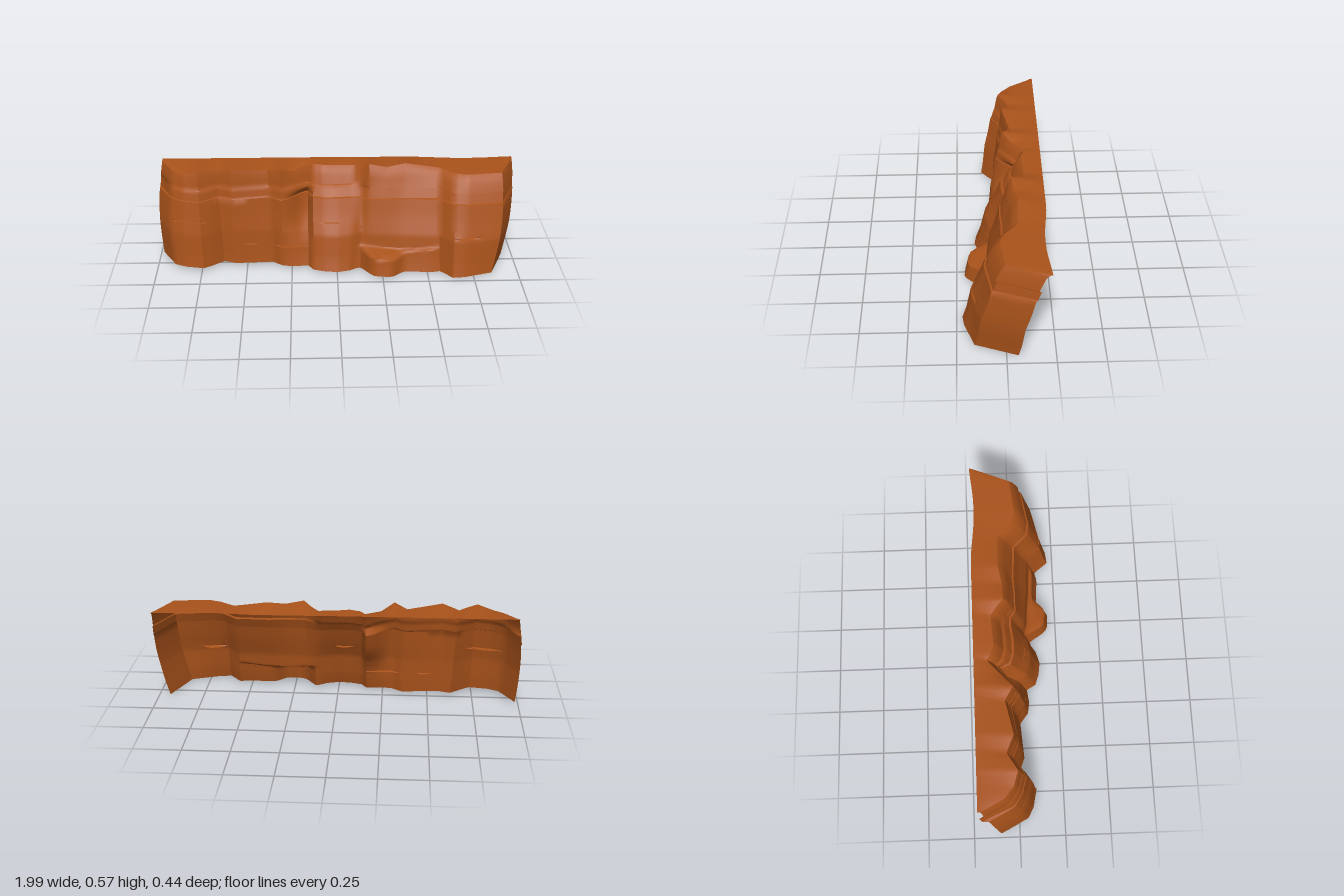
import * as THREE from 'three';
import { toCreasedNormals } from 'three/addons/utils/BufferGeometryUtils.js';

const { lerp, smoothstep, clamp } = THREE.MathUtils;

// Plan outline of the cliff: [bottom x, bottom z], left to right
const foot = [
  [-0.98, -0.1], [-0.96, -0.06], [-0.9, 0.05], [-0.84, 0.08], [-0.74, 0.1], [-0.69, 0.065], [-0.63, 0.015],
  [-0.56, 0.04], [-0.36, 0.025], [-0.3, 0.07], [-0.24, 0.08], [-0.16, 0.07], [-0.13, 0.12], [-0.07, 0.14],
  [0, 0.15], [0.07, 0.13], [0.13, 0.09], [0.18, 0.1], [0.29, 0.11], [0.37, 0.125], [0.57, 0.14],
  [0.635, 0.22], [0.7, 0.212], [0.855, 0.16], [0.94, -0.06],
];
// Matching rim points: [top x, top z, top y]
const rim = [
  [-0.97, -0.205, 0.542], [-0.955, -0.18, 0.538], [-0.9, -0.08, 0.53], [-0.84, -0.03, 0.53], [-0.76, -0.005, 0.552],
  [-0.7, -0.04, 0.545], [-0.66, -0.06, 0.535], [-0.57, -0.02, 0.558], [-0.38, -0.06, 0.535],
  [-0.31, -0.015, 0.558], [-0.24, -0.07, 0.525], [-0.155, -0.15, 0.535], [-0.13, -0.13, 0.543],
  [-0.07, -0.11, 0.545], [0, -0.115, 0.54], [0.1, -0.12, 0.538], [0.14, -0.09, 0.552], [0.18, -0.05, 0.571],
  [0.28, -0.055, 0.552], [0.38, -0.075, 0.565], [0.56, -0.07, 0.54], [0.645, 0.005, 0.535],
  [0.71, 0.028, 0.537], [0.905, 0.005, 0.537], [0.99, -0.2, 0.536],
];
// Slope of the face: [height, share of the way from foot to rim]; the steps are rock strata
const slope = [
  [0, 0], [0.07, 0.1], [0.2, 0.22], [0.3, 0.42], [0.386, 0.56], [0.389, 0.61], [0.444, 0.74],
  [0.448, 0.67], [0.49, 0.78], [0.525, 0.88], [0.545, 1],
];
// Horizontal cracks: [from x, to x, height, depth]
const cracks = [
  [-0.9, -0.71, 0.265, 0.03], [-0.36, -0.15, 0.112, 0.015], [-0.08, 0.02, 0.262, 0.02],
  [0.65, 0.78, 0.208, 0.03], [-0.52, -0.44, 0.115, 0.012],
];

function sample(table, t) {
  const i = Math.min(Math.floor(t), table.length - 2);
  return table[i].map((v, k) => lerp(v, table[i + 1][k], t - i));
}

// The top layer is set back on the left part and overhangs on the right
function slopeAt(x, y) {
  const i = Math.max(1, slope.findIndex((s) => s[0] >= y - 1e-6));
  const [a, b] = [slope[i - 1], slope[i]];
  const w = lerp(a[1], b[1], (y - a[0]) / (b[0] - a[0]));
  return y < 0.446 ? w : lerp(w, 1, 0.35 * (1 - smoothstep(x, 0.05, 0.25)));
}

const band = (v, a, b, soft) => smoothstep(v, a, a + soft) * (1 - smoothstep(v, b - soft, b));

// Local relief added to the plain face
function relief(x, y) {
  let d = 0;
  for (const [x0, x1, y0, depth] of cracks) {
    if (x > x0 && x < x1 && Math.abs(y - y0) < 0.002) d -= depth * Math.sin(Math.PI * (x - x0) / (x1 - x0));
  }
  // Arched hollow, deepest against the middle column
  d -= 0.045 * smoothstep(x, -0.3, -0.18) * (1 - smoothstep(x, -0.155, -0.135))
    * smoothstep(y, 0.1, 0.3) * (1 - smoothstep(y, 0.386, 0.425));
  // Projecting foot ledge, with a shallow shelf sagging between its ends
  const sag = 0.02 * Math.sin(Math.PI * clamp((x - 0.1) / 0.48, 0, 1));
  d += 0.08 * band(x, 0.12, 0.385, 0.1) * (1 - smoothstep(y + sag, 0.105, 0.135));
  d += 0.018 * band(x, 0.1, 0.59, 0.08) * (1 - smoothstep(y + sag, 0.125, 0.14));
  // Stratum slipped backwards at the left end
  d -= 0.035 * (1 - smoothstep(x, -0.98, -0.9)) * band(y, 0.385, 0.45, 0.004);
  return d;
}

// Joins rows of points, each running left to right, into a sheet
function sheet(name, rows, material) {
  const n = rows[0].length;
  const index = [];
  for (let j = 0; j < rows.length - 1; j++) {
    for (let i = 0; i < n - 1; i++) {
      const a = j * n + i;
      index.push(a, a + 1, a + n + 1, a, a + n + 1, a + n);
    }
  }
  const geometry = new THREE.BufferGeometry().setFromPoints(rows.flat());
  geometry.setIndex(index);
  const mesh = new THREE.Mesh(toCreasedNormals(geometry, 0.75), material);
  mesh.name = name;
  return mesh;
}

export function createModel() {
  const group = new THREE.Group();
  group.name = 'cliff';
  const rock = new THREE.MeshStandardMaterial({ color: 0xaa531b, side: THREE.DoubleSide });

  // Steps along the outline, finer where its segments are longer
  const steps = [];
  for (let i = 0; i < foot.length - 1; i++) {
    const count = Math.ceil((foot[i + 1][0] - foot[i][0]) / 0.022);
    for (let k = 0; k < count; k++) steps.push(i + k / count);
  }
  steps.push(foot.length - 1);

  // Heights of the rows, with extra ones at the cracks, hollow and ledge
  const heights = new Set([
    ...slope.map((s) => s[0]), 0.085, 0.095, 0.125, 0.13, 0.14, 0.155, 0.18, 0.24, 0.345, 0.4, 0.41, 0.425, 0.47,
  ]);
  for (const [, , y] of cracks) [-0.006, 0, 0.006].forEach((o) => heights.add(y + o));
  const levels = [...heights].sort((a, b) => a - b);

  // Leaning rock face, open at the back and underneath
  const face = levels.map((y) => steps.map((t) => {
    const [x0, z0] = sample(foot, t);
    const [x1, z1, top] = sample(rim, t);
    const f = y / 0.545;
    const base = 0.01 - 0.01 * x0;
    // Both ends bow outwards at mid height
    const bow = Math.sin(Math.PI * f) * (0.025 * smoothstep(x0, 0.7, 0.85) - 0.02 * (1 - smoothstep(x0, -0.95, -0.8)));
    const x = lerp(x0, x1, f) + bow;
    // Strata stay level; only the top layer follows the uneven rim
    const height = y + base * (1 - f) + (top - 0.545) * smoothstep(y, 0.45, 0.545);
    return new THREE.Vector3(x, height, lerp(z0, z1, slopeAt(x, y)) + relief(x, y));
  }));
  group.add(sheet('rockFace', face, rock));

  // Plateau from the rim to the straight back edge, folding down near the rim
  const front = face[face.length - 1];
  const back = front.map((p) => new THREE.Vector3(
    p.x, 0.545 - 0.005 * Math.max(0, p.x), -0.219 + 0.022 * band(p.x, 0.4, 1.05, 0.3)));
  const middle = front.map((p, i) => {
    const m = p.clone().lerp(back[i], 0.4);
    m.y = lerp(p.y, back[i].y, p.y < back[i].y ? 0.8 : 0.4);
    return m;
  });
  group.add(sheet('plateau', [front, middle, back], rock));

  return group;
}
